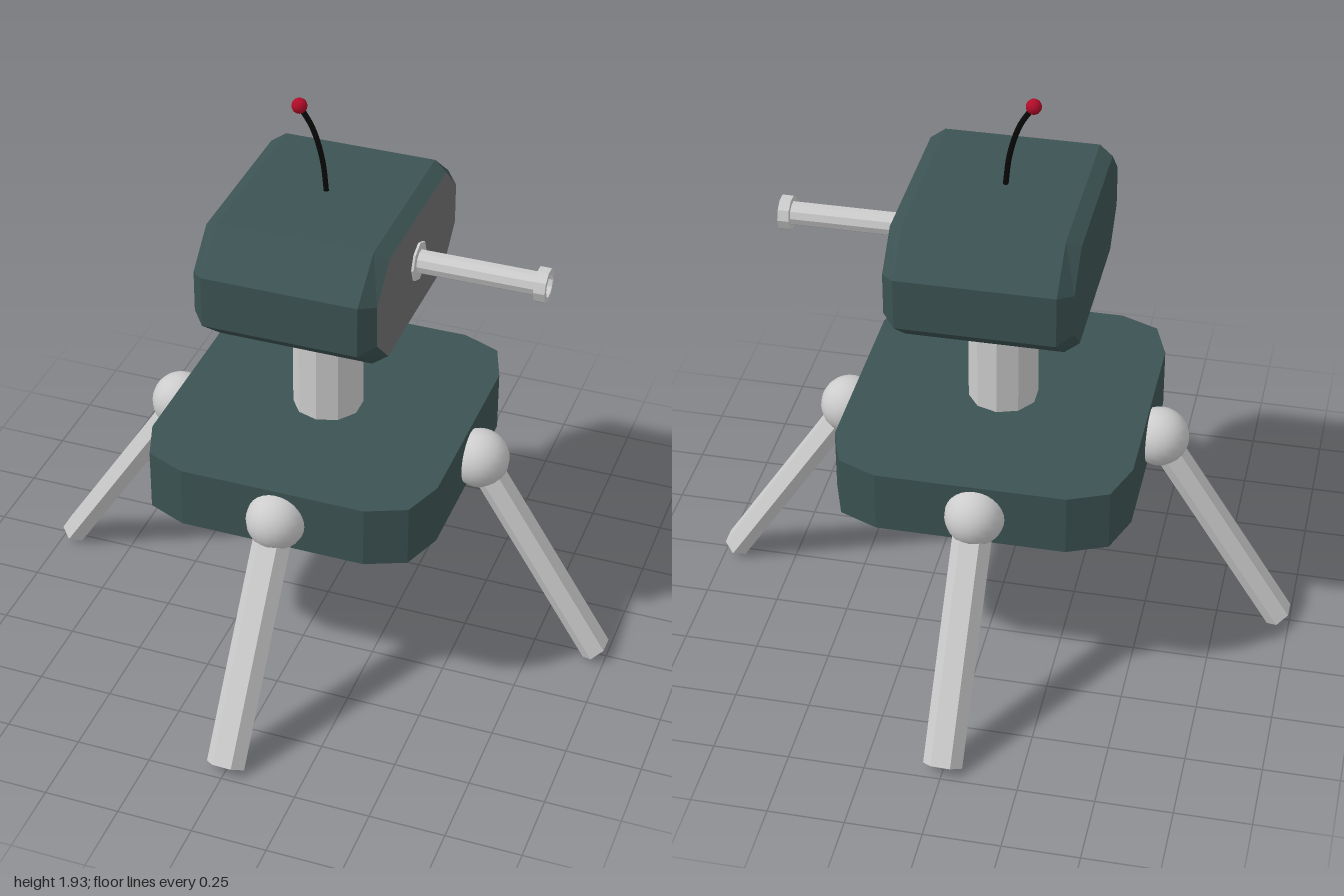
import * as THREE from 'three';

const mat = (name, color, opts = {}) => {
  const m = new THREE.MeshStandardMaterial({ color, ...opts });
  m.name = name;
  return m;
};

export function createModel() {
  const model = new THREE.Group();
  model.name = 'turret';

  const armour = mat('slate armour', 0x3c5252);
  const panelGrey = mat('panel grey', 0x6e6e6e);
  const steel = mat('light steel', 0xcccccc, { flatShading: true });
  const smoothSteel = steel.clone();
  smoothSteel.flatShading = false;
  const black = mat('black', 0x080808);
  const red = mat('red', 0xb00c28);

  const add = (name, geometry, material, parent = model) => {
    const mesh = new THREE.Mesh(geometry, material);
    mesh.name = name;
    parent.add(mesh);
    return mesh;
  };

  // Base plate with two-step chamfered corners
  const corner = [[0.49, 0.335], [0.44, 0.475], [0.31, 0.53]];
  const flip = (sx, sz, pts) => pts.map(([x, z]) => new THREE.Vector2(x * sx, z * sz));
  const back = [...corner].reverse();
  const outline = new THREE.Shape([
    ...flip(1, 1, corner), ...flip(-1, 1, back),
    ...flip(-1, -1, corner), ...flip(1, -1, back),
  ]);
  const plate = new THREE.ExtrudeGeometry(outline, { depth: 0.21, bevelEnabled: false });
  plate.rotateX(-Math.PI / 2).translate(0, 0.6, 0);
  add('basePlate', plate, armour);

  // Neck column
  const neck = new THREE.CylinderGeometry(0.116, 0.116, 0.46, 10);
  add('neck', neck.translate(0, 1.02, 0), steel);

  // Head: octagonal sections along x, bevelled at both ends, grey face at +x
  const ring = (x, zOut, zIn, yIn, yOut) => [
    [zOut, -yIn], [zOut, yIn], [zIn, yOut], [-zIn, yOut],
    [-zOut, yIn], [-zOut, -yIn], [-zIn, -yOut], [zIn, -yOut],
  ].map(([z, y]) => [x, 1.412 + y, z]);
  const small = [0.392, 0.28, 0.07, 0.177];
  const large = [0.445, 0.3, 0.087, 0.203];
  const rings = [
    ring(-0.3, ...small), ring(-0.255, ...large),
    ring(0.255, ...large), ring(0.3, ...small),
  ];
  const shell = [];
  const face = [];
  for (let r = 0; r < 3; r++) {
    for (let i = 0; i < 8; i++) {
      const j = (i + 1) % 8;
      const [a, b] = [rings[r], rings[r + 1]];
      shell.push(...a[i], ...b[i], ...a[j], ...a[j], ...b[i], ...b[j]);
    }
  }
  for (let i = 1; i < 7; i++) {
    shell.push(...rings[0][0], ...rings[0][i], ...rings[0][i + 1]);
    face.push(...rings[3][0], ...rings[3][i + 1], ...rings[3][i]);
  }
  const fromTriangles = (list) => {
    const g = new THREE.BufferGeometry();
    g.setAttribute('position', new THREE.Float32BufferAttribute(list, 3));
    g.computeVertexNormals();
    return g;
  };
  const head = new THREE.Group();
  head.name = 'head';
  model.add(head);
  add('headShell', fromTriangles(shell), armour, head);
  add('facePanel', fromTriangles(face), panelGrey, head);

  // Gun barrel pointing along +x
  const gun = new THREE.Group();
  gun.name = 'gun';
  gun.position.y = 1.42;
  model.add(gun);
  const alongX = (g, x) => g.rotateZ(-Math.PI / 2).translate(x, 0, 0);
  add('barrelCollar', alongX(new THREE.CylinderGeometry(0.066, 0.066, 0.008, 8), 0.304), steel, gun);
  add('barrel', alongX(new THREE.CylinderGeometry(0.039, 0.039, 0.4, 10), 0.495), steel, gun);
  const muzzle = [[0, 0], [0.057, 0], [0.057, 0.037], [0.038, 0.037], [0.038, 0.008]]
    .map(([r, y]) => new THREE.Vector2(r, y));
  add('muzzleRing', alongX(new THREE.LatheGeometry(muzzle, 10), 0.694), steel, gun);
  add('boreHole', alongX(new THREE.CylinderGeometry(0.038, 0.038, 0.006, 10), 0.705), black, gun);

  // Curved antenna with a ball tip
  const curve = new THREE.CatmullRomCurve3([
    [-0.005, 1.6], [-0.02, 1.725], [-0.052, 1.83], [-0.095, 1.9],
  ].map(([x, y]) => new THREE.Vector3(x, y, 0)));
  add('antenna', new THREE.TubeGeometry(curve, 16, 0.009, 8), black);
  add('antennaTip', new THREE.SphereGeometry(0.025, 16, 12).translate(-0.095, 1.9, 0), red);

  // Four legs, each a ball joint and a flattened hexagonal strut
  const hip = new THREE.Vector3(0.525, 0.697, -0.015);
  const foot = new THREE.Vector3(0.962, 0.018, 0);
  const axis = hip.clone().sub(foot);
  const strut = new THREE.CylinderGeometry(0.064, 0.064, axis.length(), 6);
  strut.scale(0.75, 1, 1);
  strut.applyQuaternion(new THREE.Quaternion().setFromUnitVectors(
    new THREE.Vector3(0, 1, 0), axis.clone().normalize()));
  const mid = hip.clone().add(foot).multiplyScalar(0.5);
  strut.translate(mid.x, mid.y, mid.z);
  const ball = new THREE.SphereGeometry(0.098, 20, 14).translate(hip.x, hip.y, hip.z);
  ['leftLeg', 'backLeg', 'rightLeg', 'frontLeg'].forEach((name, i) => {
    const leg = new THREE.Group();
    leg.name = name;
    leg.rotation.y = i * Math.PI / 2;
    add('hipBall', ball, smoothSteel, leg);
    add('strut', strut, steel, leg);
    model.add(leg);
  });

  return model;
}
